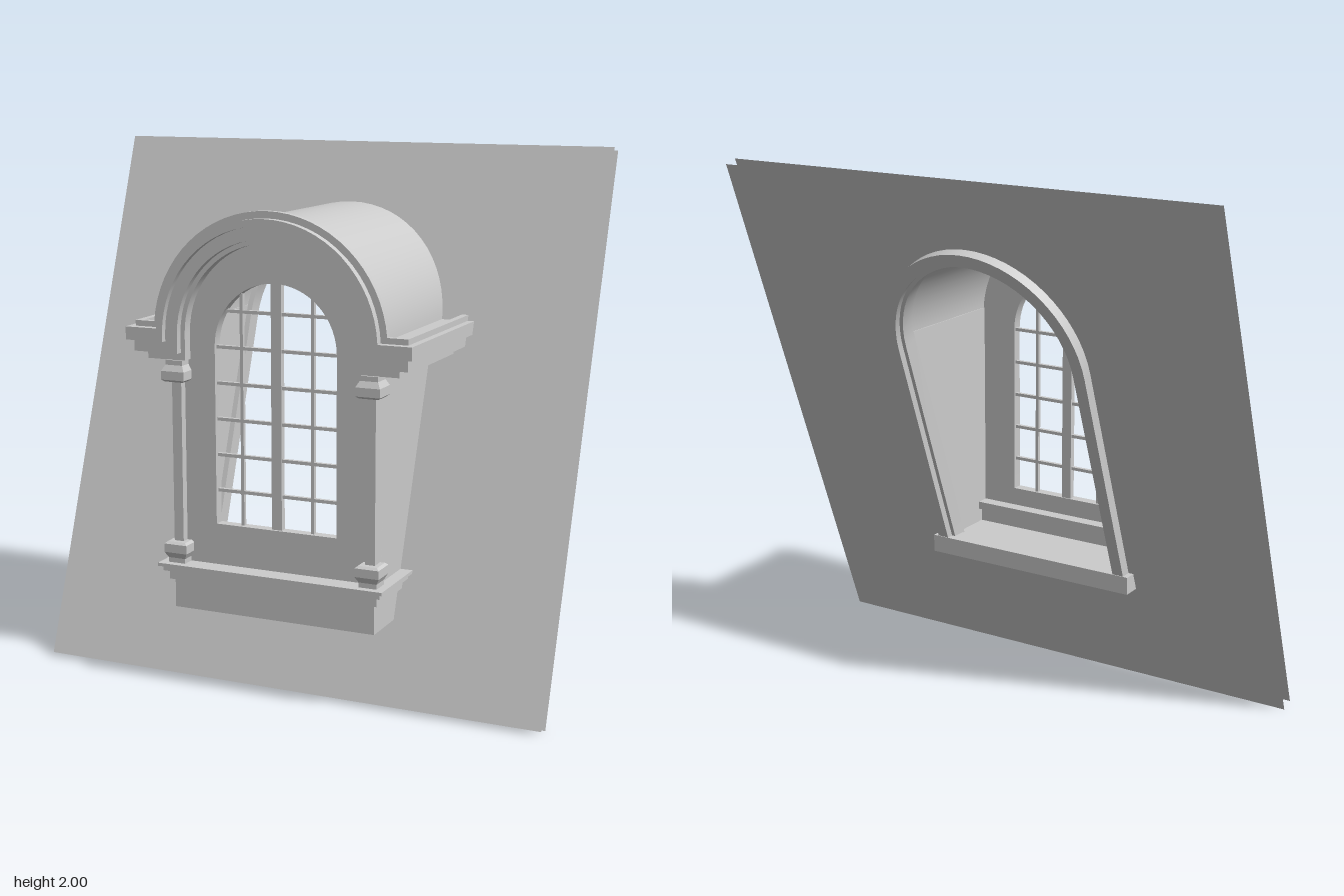
import * as THREE from 'three';
import { toCreasedNormals } from 'three/addons/utils/BufferGeometryUtils.js';

const CY = 1.345;                          // centre height of the vault
const SLOPE = 0.364;
const roof = (y) => 0.29 - SLOPE * y;      // z of the sloping roof at height y

export function createModel() {
  const root = new THREE.Group();
  const mat = new THREE.MeshStandardMaterial({ color: 0xcccccc });
  const thin = new THREE.MeshStandardMaterial({ color: 0xcccccc, side: THREE.DoubleSide });

  const add = (name, geo, m = mat) => {
    const mesh = new THREE.Mesh(geo, m);
    mesh.name = name;
    root.add(mesh);
    return mesh;
  };

  // Extrude a front outline from zFront to a back end; either end may be a rule of y
  const prism = (name, shape, zFront, zBack = roof, drop = 0) => {
    const geo = new THREE.ExtrudeGeometry(shape, { depth: 1, bevelEnabled: false, curveSegments: 24 });
    const p = geo.attributes.position;
    const at = (z, y) => (typeof z === 'function' ? z(y) : z);
    for (let i = 0; i < p.count; i++) {
      const y = p.getY(i), front = p.getZ(i) > 0.5;
      p.setZ(i, at(front ? zFront : zBack, y));
      if (!front) p.setY(i, y - drop);
    }
    geo.computeVertexNormals();
    return add(name, toCreasedNormals(geo, 0.5));
  };

  const poly = (pts) => new THREE.Shape(pts.map(([x, y]) => new THREE.Vector2(x, y)));
  const rect = (x0, x1, y0, y1) => poly([[x0, y0], [x1, y0], [x1, y1], [x0, y1]]);
  const box = (name, x0, x1, y0, y1, z0, z1) => {
    const g = new THREE.BoxGeometry(x1 - x0, y1 - y0, z1 - z0);
    g.translate((x0 + x1) / 2, (y0 + y1) / 2, (z0 + z1) / 2);
    return add(name, g);
  };

  // Round-headed outline: straight legs down to y0, semicircle of radius r about cy
  const archPoints = (r, y0, cy = CY, n = 32) => {
    const pts = [[r, y0]];
    const a0 = y0 > cy ? Math.asin((y0 - cy) / r) : 0;
    if (a0) pts.pop();
    for (let i = 0; i <= n; i++) {
      const a = a0 + (Math.PI - 2 * a0) * i / n;
      pts.push([r * Math.cos(a), cy + r * Math.sin(a)]);
    }
    if (!a0) pts.push([-r, y0]);
    return pts;
  };
  const ring = (rOut, rIn, y0) => poly([...archPoints(rOut, y0), ...archPoints(rIn, y0).reverse()]);

  // Roof: two open sheets with a round-headed opening
  for (const [name, y0, y1, z0] of [['roofOuterSheet', 0.015, 2, 0.326], ['roofInnerSheet', 0, 1.985, 0.27]]) {
    const s = rect(-1, 1, y0, y1);
    s.holes.push(poly(archPoints(0.4, 0.45)));
    const g = new THREE.ShapeGeometry(s);
    const p = g.attributes.position;
    for (let i = 0; i < p.count; i++) p.setZ(i, z0 - SLOPE * p.getY(i));
    g.computeVertexNormals();
    add(name, g, thin);
  }

  // Dormer body: vault, cheeks and base
  prism('vault', ring(0.43, 0.385, CY), 0.41);
  for (const s of [-1, 1]) {
    prism('cheekWall', rect(Math.min(s * 0.38, s * 0.4), Math.max(s * 0.38, s * 0.4), 0.42, 1.37), 0.37);
  }
  prism('base', rect(-0.4, 0.4, 0.31, 0.425), 0.4);

  // Front wall with the window opening
  const wall = poly(archPoints(0.4, 0.42));
  wall.holes.push(poly(archPoints(0.24, 0.64, 1.3)));
  prism('frontWall', wall, 0.37, 0.33);

  // Window bars
  box('centreMullion', -0.02, 0.02, 0.64, 1.54, 0.335, 0.36);
  for (const x of [-0.14, 0.14]) box('verticalBar', x - 0.006, x + 0.006, 0.64, 1.495, 0.34, 0.355);
  for (let i = 0; i < 6; i++) {
    const y = 0.765 + i * 0.133;
    const w = y > 1.3 ? Math.sqrt(0.24 ** 2 - (y - 1.3) ** 2) : 0.24;
    box('horizontalBar', -w, w, y - 0.006, y + 0.006, 0.34, 0.355);
  }

  // Cornice: stepped bands that follow the arch, turn outward and return along the sides
  // Columns: radius, top height, reach in x, front z, back z of the front band
  const bands = [
    [0.455, 1.387, 0.53, 0.43, 0.407],
    [0.43, 1.366, 0.555, 0.46, 0.37],
    [0.405, 1.318, 0.533, 0.437, 0.37],
    [0.357, 1.275, 0.492, 0.41, 0.365],
    [0.34, 1.247],
  ];
  for (let i = 0; i < 4; i++) {
    const [r, y, x, zf, zb] = bands[i];
    const [r2, y2] = bands[i + 1];
    prism('archBand', poly([
      [x, y], ...archPoints(r, y), [-x, y],
      [-x, y2], ...archPoints(r2, y2).reverse(), [x, y2],
    ]), zf, zb);
    const inner = i === 0 ? 0.505 : 0.39;    // the top band is a thin gutter lip
    for (const s of [-1, 1]) {
      prism('sideCornice', rect(Math.min(s * inner, s * x), Math.max(s * inner, s * x), y2, y), zb + 0.005);
    }
  }

  // Corner pilasters with square capitals and bases
  const blockProfile = [[0, 0], [0.036, 0], [0.046, 0.008], [0.046, 0.04], [0.034, 0.062], [0.034, 0.08], [0, 0.08]];
  const block = (name, x, y, flip) => {
    const pts = blockProfile.map(([r, h]) => new THREE.Vector2(r * Math.SQRT2, flip ? 0.08 - h : h));
    if (flip) pts.reverse();
    const g = new THREE.LatheGeometry(pts, 4);
    g.rotateY(Math.PI / 4);
    g.translate(x, y, 0.385);
    add(name, toCreasedNormals(g, 0.3));
  };
  for (const s of [-1, 1]) {
    const x = s * 0.382;
    box('pilaster', x - 0.019, x + 0.019, 0.485, 1.25, 0.362, 0.4);
    block('pilasterCapital', x, 1.167, false);
    block('pilasterBase', x, 0.486, true);
  }

  // Stepped sill wrapping the front and sides
  for (const [x, y0, y1, z] of [[0.447, 0.474, 0.486, 0.447], [0.433, 0.455, 0.474, 0.433], [0.415, 0.42, 0.455, 0.415]]) {
    prism('sillMoulding', rect(-x, x, y0, y1), z);
  }

  // Inside: ledge moulding under the window
  box('innerLedgeLower', -0.38, 0.38, 0.48, 0.54, 0.3, 0.335);
  box('innerLedgeUpper', -0.38, 0.38, 0.54, 0.57, 0.28, 0.335);

  // Back: stepped frame around the opening and its sill
  const behind = (d) => (y) => roof(y) - d;
  prism('backFrame', ring(0.42, 0.375, 0.46), behind(-0.02), behind(0.055), 0.025);
  prism('backFrameInner', ring(0.38, 0.36, 0.46), behind(-0.03), behind(0.03), 0.015);
  box('backSill', -0.44, 0.44, 0.42, 0.488, 0.045, 0.13);

  return root;
}
